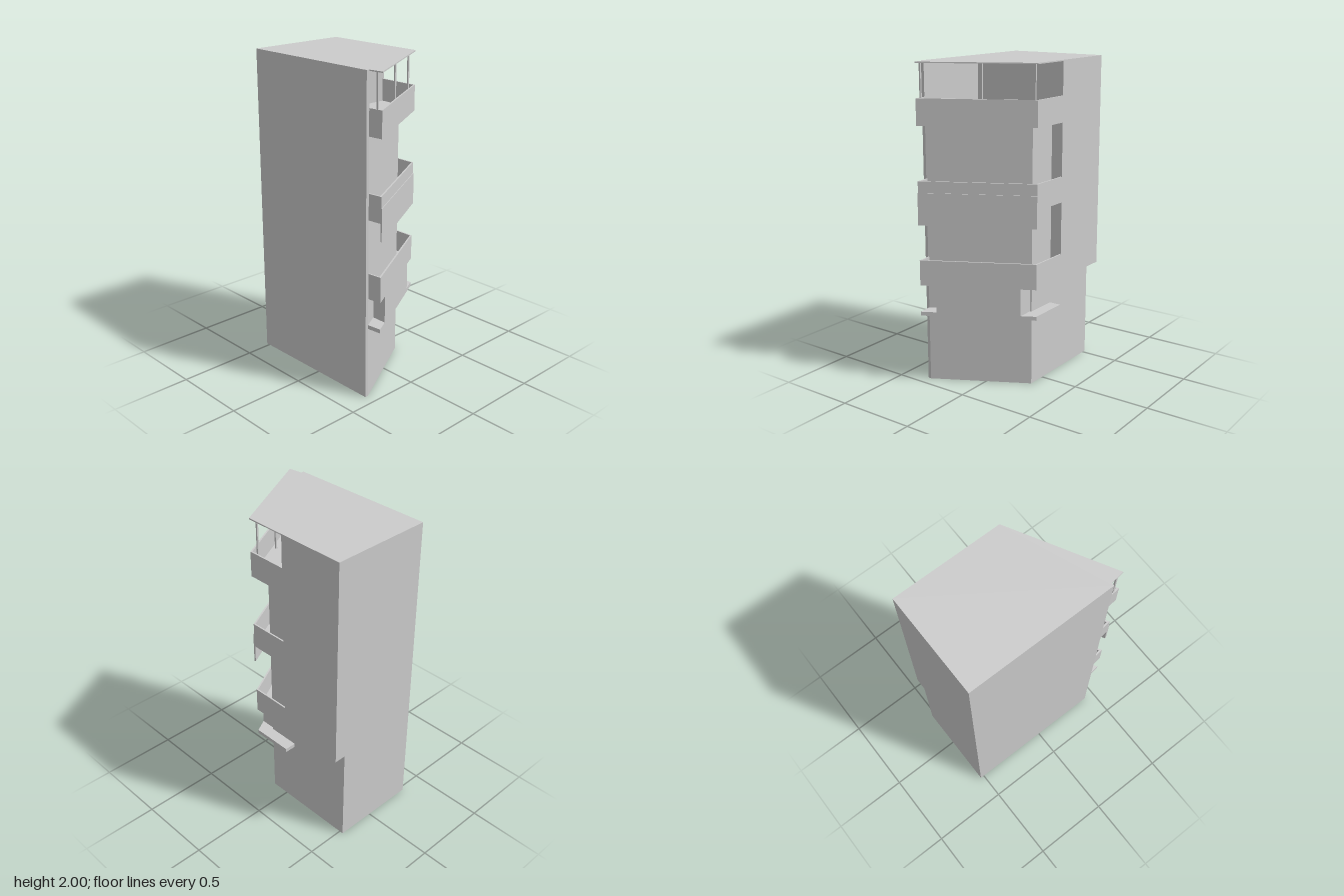
import * as THREE from 'three';

const material = new THREE.MeshStandardMaterial({ color: 0xcccccc, side: THREE.DoubleSide, flatShading: true });

// Plan points are [x, z]; the outline is raised from y0 to y1.
function prism(name, plan, y0, y1, hole) {
  const toPoints = (list) => list.map(([x, z]) => new THREE.Vector2(x, -z));
  const shape = new THREE.Shape(toPoints(plan));
  if (hole) shape.holes.push(new THREE.Path(toPoints(hole)));
  const geometry = new THREE.ExtrudeGeometry(shape, { depth: y1 - y0, bevelEnabled: false });
  geometry.rotateX(-Math.PI / 2);
  geometry.translate(0, y0, 0);
  const mesh = new THREE.Mesh(geometry, material);
  mesh.name = name;
  return mesh;
}

// Depth of the slanted balcony front at a given x
const frontZ = (x) => 0.52 - (x + 0.3) * (0.34 / 0.625);

export function createModel() {
  const group = new THREE.Group();
  group.name = 'building';
  const add = (...args) => group.add(prism(...args));

  // Hollow lower storeys, open underneath
  add('lowerWalls',
    [[-0.33, -0.525], [0.25, -0.525], [0.25, 0.12], [-0.31, 0.43], [-0.33, 0.43]], 0, 0.65,
    [[-0.325, -0.52], [0.245, -0.52], [0.245, 0.117], [-0.312, 0.425], [-0.325, 0.425]]);

  // Wide rear block, side wall and recessed front rooms
  add('rearBlock', [[-0.33, -0.525], [0.325, -0.525], [0.325, -0.085], [-0.33, -0.085]], 0.65, 1.995);
  add('sideWall', [[-0.33, -0.085], [-0.31, -0.085], [-0.31, 0.43], [-0.33, 0.43]], 0.65, 1.995);
  add('frontRooms', [[-0.31, -0.085], [0.25, -0.085], [0.25, 0.12], [-0.31, 0.43]], 0.65, 1.65);

  // Balconies wrapping the slanted front and the side
  const floorPlan = [[-0.31, 0.43], [-0.3, 0.52], [0.325, 0.18], [0.325, -0.085], [0.25, -0.085], [0.25, 0.12]];
  const parapetPlan = [[-0.31, 0.43], [-0.3, 0.52], [0.325, 0.18], [0.325, -0.085],
    [0.315, -0.085], [0.315, 0.174], [-0.291, 0.503], [-0.3, 0.43]];
  for (const y of [0.65, 1.14, 1.63]) {
    add('balconyFloor', floorPlan, y, y + 0.02);
    add('parapet', parapetPlan, y, y + 0.16);
  }
  add('lowerLedge', floorPlan, 0.455, 0.48);

  // Projecting bay between the ledge and the first balcony
  add('frontBay', [[-0.215, frontZ(-0.215)], [0.24, frontZ(0.24)], [0.24, 0.12], [-0.215, 0.37]], 0.48, 0.65);

  // Thin panel hung over the middle parapet
  add('frontPanel', [[-0.3, 0.525], [0.328, 0.184], [0.325, 0.175], [-0.3, 0.515]], 1.03, 1.23);

  // Roof and the slim posts of the open top storey
  add('roof', [[-0.33, -0.525], [0.325, -0.525], [0.325, 0.18], [-0.3, 0.52], [-0.31, 0.43], [-0.33, 0.43]], 1.993, 2);
  for (const [x, z] of [[-0.295, 0.48], [0.02, 0.305], [0.29, 0.155]]) {
    const r = 0.005;
    add('roofPost', [[x - r, z - r], [x + r, z - r], [x + r, z + r], [x - r, z + r]], 1.65, 1.993);
  }
  return group;
}
